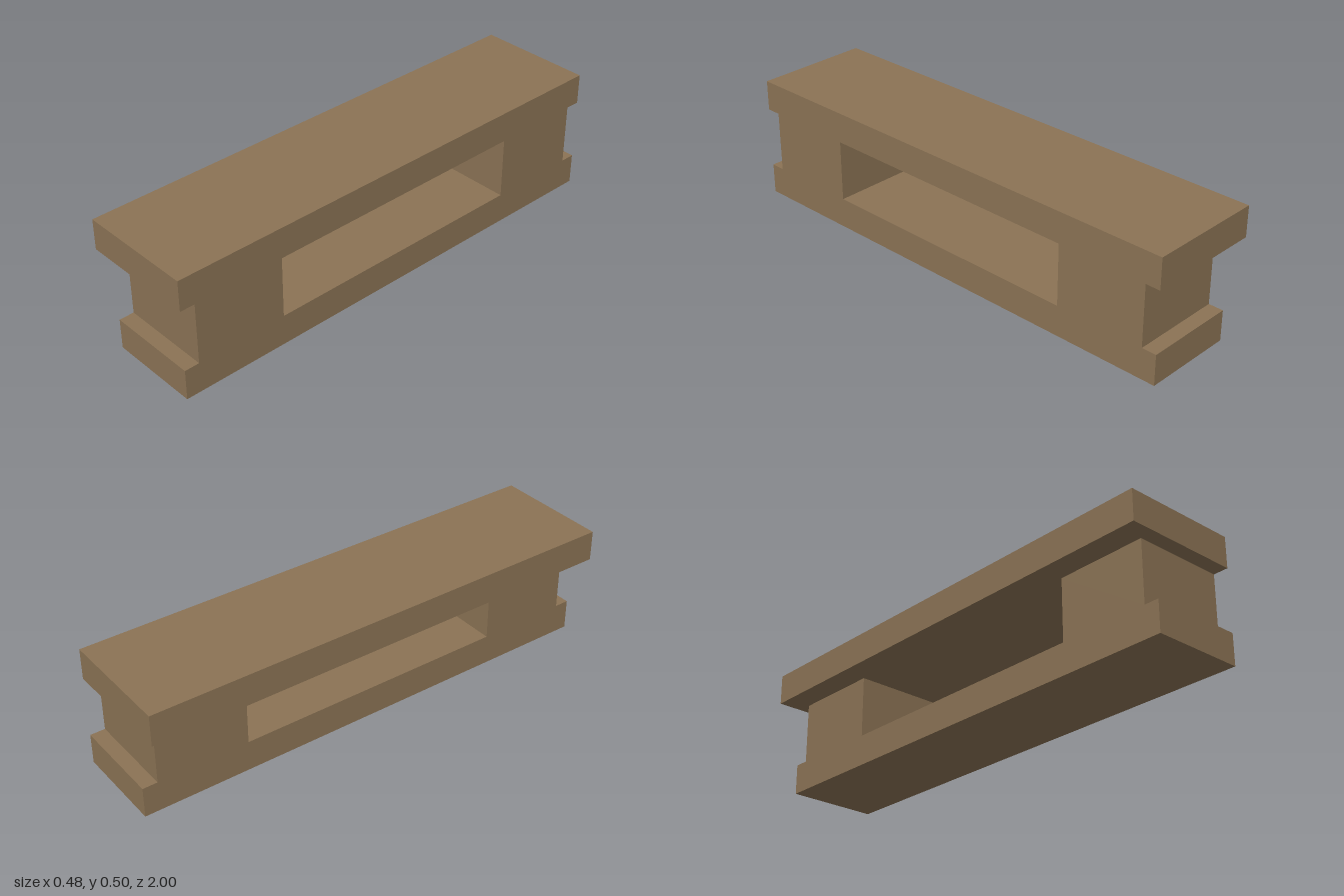
import * as THREE from 'three';

export function createModel() {
  const group = new THREE.Group();
  const wood = new THREE.MeshStandardMaterial({ color: 0x8b7355 });
  wood.name = 'brown wood';

  const height = 0.501, low = 0.125, high = 0.376; // beam height, rail edges
  const end = 1, post = 0.94, opening = 0.564;     // half lengths
  const xOuter = -0.239, xInner = -0.137, xFlush = 0.239;

  // Beam side profile with a notch at each end
  const half = [[end, 0], [end, low], [post, low], [post, high], [end, high], [end, height]];
  const mirrored = half.map(([z, y]) => [-z, y]).reverse();
  const profile = new THREE.Shape([...half, ...mirrored].map(p => new THREE.Vector2(...p)));

  // Long window through the middle
  profile.holes.push(new THREE.Path([
    [-opening, low], [-opening, high], [opening, high], [opening, low],
  ].map(p => new THREE.Vector2(...p))));

  const beamGeometry = new THREE.ExtrudeGeometry(profile, { depth: xFlush - xInner, bevelEnabled: false });
  beamGeometry.rotateY(Math.PI / 2).translate(xInner, 0, 0);
  const beam = new THREE.Mesh(beamGeometry, wood);
  beam.name = 'beam';

  // Overhanging lip that widens the top rail on one side
  const lip = new THREE.Mesh(new THREE.BoxGeometry(xInner - xOuter, height - high, 2 * end), wood);
  lip.position.set((xInner + xOuter) / 2, (height + high) / 2, 0);
  lip.name = 'topLip';

  group.add(beam, lip);
  return group;
}
